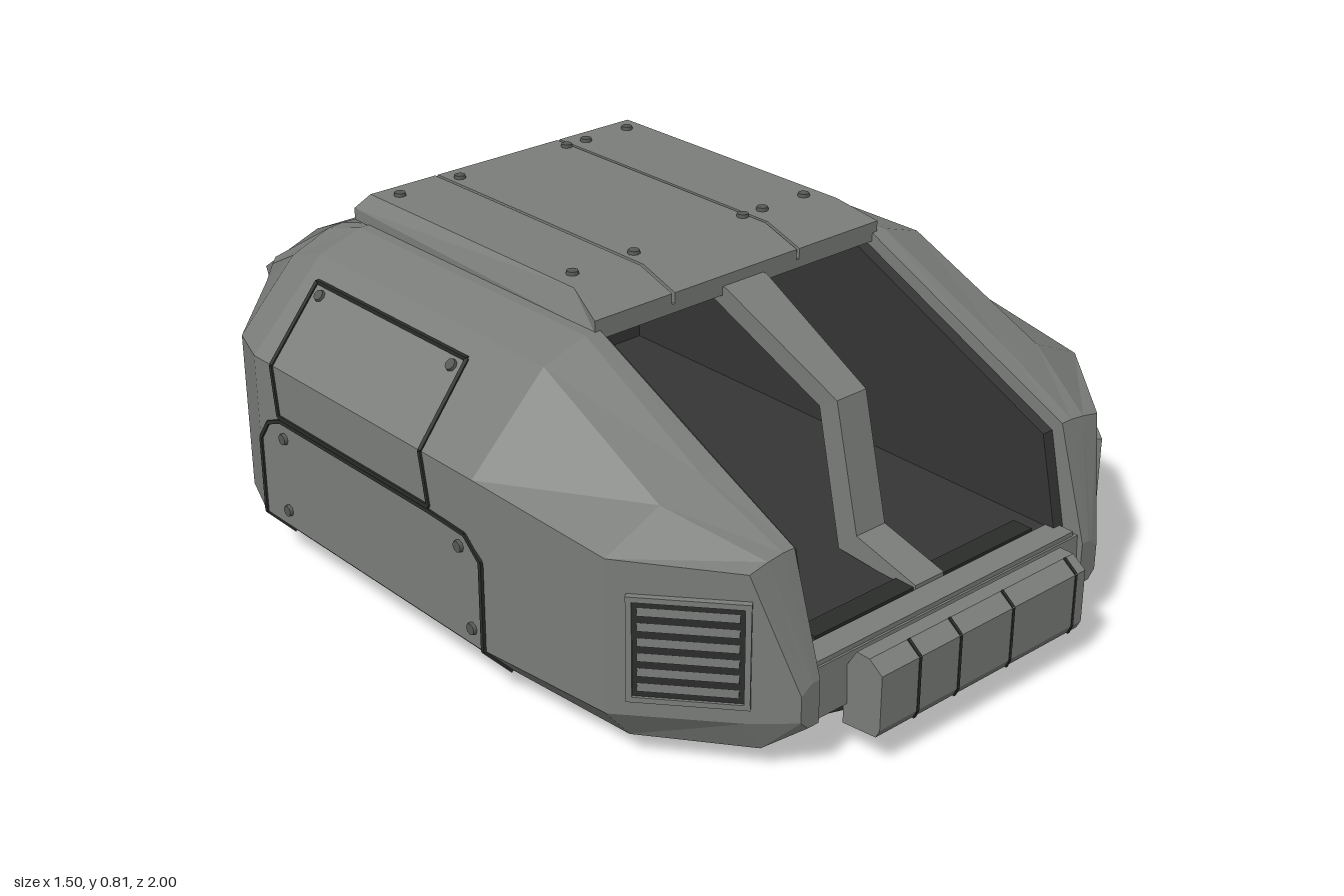
import * as THREE from 'three';

const mat = (name, color) => {
  const m = new THREE.MeshStandardMaterial({ color });
  m.name = name;
  return m;
};

export function createModel() {
  const hull = mat('hullGrey', 0x7a7d79);
  const dark = mat('cabinDark', 0x353535);
  const seamDark = mat('seamDark', 0x2b2d2b);
  const trim = mat('trimGrey', 0x555856);
  const glass = mat('windowGlass', 0x4c5459);
  const base = mat('baseBlack', 0x2a2a2a);

  const root = new THREE.Group();
  root.name = 'armouredCabin';
  const add = (name, geo, material, parent = root) => {
    const m = new THREE.Mesh(geo, material);
    m.name = name;
    parent.add(m);
    return m;
  };
  const box = (name, w, h, d, x, y, z, material, parent) =>
    add(name, new THREE.BoxGeometry(w, h, d).translate(x, y, z), material, parent);

  // Side profile of [z, y] points, extruded across x from x0 to x1
  const slab = (pts, x0, x1) => {
    const shape = new THREE.Shape(pts.map(p => new THREE.Vector2(...p)));
    return new THREE.ExtrudeGeometry(shape, { depth: x1 - x0, bevelEnabled: false })
      .rotateY(-Math.PI / 2).translate(x1, 0, 0);
  };
  // Scale x of the vertices that pass a test on y
  const scaleX = (geo, test, k) => {
    const p = geo.attributes.position;
    for (let i = 0; i < p.count; i++) if (test(p.getX(i), p.getY(i))) p.setX(i, p.getX(i) * k);
    geo.computeVertexNormals();
    return geo;
  };
  // Thin dark line laid along a path on the surface
  const seam = (name, pts, size = 0.009) => {
    for (let i = 0; i + 1 < pts.length; i++) {
      const a = new THREE.Vector3(...pts[i]), b = new THREE.Vector3(...pts[i + 1]);
      const m = add(name, new THREE.BoxGeometry(size, size, a.distanceTo(b)), seamDark);
      m.position.copy(a).lerp(b, 0.5);
      m.lookAt(b);
    }
  };
  const rivet = (pos, normal) => {
    const m = add('rivet', new THREE.CylinderGeometry(0.013, 0.015, 0.012, 8), trim);
    m.position.set(...pos);
    m.quaternion.setFromUnitVectors(new THREE.Vector3(0, 1, 0), new THREE.Vector3(...normal).normalize());
  };

  // Side shells: cross-sections front to back, each running from inner top round to inner bottom
  const stations = [
    [0.92, [[.40, .22], [.42, .22], [.43, .215], [.45, .20], [.45, .14], [.43, .12], [.40, .12]]],
    [0.84, [[.40, .48], [.43, .48], [.47, .475], [.519, .465], [.519, .13], [.48, .055], [.40, .055]]],
    [0.63, [[.40, .576], [.45, .572], [.56, .545], [.70, .48], [.70, .13], [.64, .055], [.40, .055]]],
    [0.27, [[.40, .745], [.44, .745], [.55, .71], [.74, .52], [.74, .13], [.67, .055], [.40, .055]]],
    [-0.52, [[.40, .745], [.44, .745], [.55, .71], [.74, .52], [.74, .13], [.67, .055], [.40, .055]]],
    [-0.65, [[.40, .709], [.44, .705], [.54, .665], [.69, .51], [.69, .13], [.62, .055], [.40, .055]]],
    [-0.92, [[.40, .547], [.42, .545], [.43, .53], [.45, .49], [.45, .14], [.43, .07], [.40, .07]]],
  ];
  const shell = s => {
    const out = [];
    const tri = (a, b, c) => (s > 0 ? [a, b, c] : [a, c, b]).forEach(p => out.push(p[0] * s, p[1], p[2]));
    const rings = stations.map(([z, pts]) => pts.map(([x, y]) => [x, y, z]));
    for (let k = 0; k + 1 < rings.length; k++) {
      for (let i = 0; i < 7; i++) {
        const j = (i + 1) % 7, f = rings[k], r = rings[k + 1];
        tri(f[i], f[j], r[j]);
        tri(f[i], r[j], r[i]);
      }
    }
    const first = rings[0], last = rings[rings.length - 1];
    for (let i = 1; i < 6; i++) {
      tri(first[0], first[i + 1], first[i]);
      tri(last[0], last[i], last[i + 1]);
    }
    const g = new THREE.BufferGeometry();
    g.setAttribute('position', new THREE.Float32BufferAttribute(out, 3));
    g.computeVertexNormals();
    return g;
  };

  // Middle of the hull: belly, sill, rear block, roof and window hood in one profile
  add('centreHull', slab([[.84, .055], [.91, .12], [.905, .235], [-.5, .235], [-.5, .725], [.27, .725],
    [.27, .745], [-.57, .745], [-.76, .66], [-1, .49], [-.985, .455], [-.9, .445], [-.9, .2],
    [-.97, .19], [-.98, .14], [-.9, .055]], -.40, .40), hull);

  // Dark cabin lining
  box('cabinFloor', .76, .008, 1.34, 0, .239, .17, dark);
  box('cabinBack', .76, .48, .01, 0, .482, -.495, dark);
  box('cabinCeiling', .76, .008, .74, 0, .722, -.12, dark);
  box('floorTrough', .66, .012, .05, 0, .243, .81, seamDark);
  box('frontSill', .78, .02, .06, 0, .236, .87, hull);

  // Bent centre pillar of the open front
  add('centrePillar', scaleX(slab([[.25, .745], [.28, .745], [.60, .59], [.67, .30], [.84, .255], [.84, .237],
    [.62, .25], [.55, .56], [.22, .72]], -.043, .043), (x, y) => y > .7, 1.4), hull);

  // Roof plates over a dark gap filler
  const roof = [[.27, .742], [.27, .77], [.17, .803], [-.55, .803], [-.575, .77], [-.575, .742]];
  for (const [a, b] of [[-.415, -.204], [-.196, .161], [.169, .415]]) {
    add('roofPlate', scaleX(slab(roof, a, b), (x, y) => y > .79 && Math.abs(x) > .3, .93), hull);
  }
  add('roofGap', slab([[.255, .745], [.255, .76], [.16, .795], [-.545, .795], [-.56, .745]], -.38, .38), seamDark);
  for (const z of [-.5, .11]) {
    for (const x of [-.34, -.17, .15, .21, .34]) rivet([x, .805, z], [0, 1, 0]);
  }

  // Front bumper with its joints
  const bumper = [[.9, .07], [.99, .08], [1, .10], [1, .225], [.965, .25], [.93, .25], [.9, .2]];
  add('frontBumper', slab(bumper, -.31, .31), hull);
  for (const x of [-.2, -.08, .08, .28]) {
    seam('bumperJoint', [[x, .08, .99], [x, .10, .998], [x, .225, .998], [x, .25, .965]], .007);
  }

  // Rear window in its hooded recess
  box('rearWindow', .74, .245, .008, 0, .322, -.903, glass);
  for (const x of [-.33, -.15, .15, .33]) box('windowBar', .025, .245, .03, x, .322, -.91, trim);
  for (const y of [.215, .43]) box('windowRail', .74, .03, .03, 0, y, -.912, seamDark);

  for (const s of [1, -1]) {
    const side = s > 0 ? 'left' : 'right';
    const mx = pts => pts.map(([x, y, z]) => [x * s, y, z]);
    const span = (a, b) => (s > 0 ? [a, b] : [-b, -a]);

    add(side + 'Shell', shell(s), hull);
    add(side + 'CabinWall', slab([[.865, .235], [.815, .455], [.26, .715], [-.5, .73], [-.5, .235]],
      ...span(.37, .402)), dark);
    add(side + 'HoodCheek', slab([[-.895, .2], [-.895, .45], [-.985, .458], [-.97, .188]],
      ...span(.37, .402)), hull);

    // Louvred vent on the angled front face
    const vent = new THREE.Group();
    vent.name = side + 'Vent';
    vent.position.set(.595 * s, .288, .754);
    vent.rotation.y = s * .863;
    root.add(vent);
    box('ventOpening', .225, .22, .012, 0, 0, 0, seamDark, vent);
    for (const y of [-.113, .113]) box('ventFrame', .245, .012, .024, 0, y, 0, hull, vent);
    for (const x of [-.116, .116]) box('ventFrame', .012, .22, .024, x, 0, 0, hull, vent);
    for (let i = 0; i < 6; i++) {
      const slat = box('ventSlat', .2, .016, .006, 0, 0, 0, trim, vent);
      slat.position.set(0, -.085 + i * .034, .008);
      slat.rotation.x = -.5;
    }

    // Side panel outlines
    seam('lowerPanelSeam', mx([[.67, .055, .29], [.74, .13, .29], [.74, .34, .29], [.74, .385, .24],
      [.74, .39, .12], [.74, .39, -.43], [.74, .37, -.48], [.74, .32, -.515], [.74, .13, -.515], [.67, .055, -.515]]));
    seam('upperPanelSeam', mx([[.74, .40, .12], [.74, .52, .098], [.59, .67, .07], [.59, .67, -.475],
      [.74, .52, -.45], [.74, .40, -.435], [.74, .40, .12]]));
    seam('rearPanelSeam', mx([[.637, .14, -.71], [.637, .34, -.71], [.62, .36, -.729],
      [.459, .36, -.91], [.459, .14, -.91]]), .007);
    for (const [y, z] of [[.17, .255], [.35, .22], [.17, -.42], [.35, -.42]]) rivet([.742 * s, y, z], [s, 0, 0]);
    for (const z of [.04, -.44]) rivet([.61 * s, .652, z], [s, 1, 0]);
  }
  // Access flap line on the rear slope
  seam('rearFlapSeam', [[.24, .709, -.65], [.35, .705, -.66], [.395, .678, -.72], [.395, .597, -.85]], .007);

  // Turntable ring
  add('turntable', new THREE.CylinderGeometry(.612, .612, .026, 64).translate(0, .013, .22), base);
  add('turntableCollar', new THREE.CylinderGeometry(.595, .595, .035, 64).translate(0, .042, .22), base);
  return root;
}
